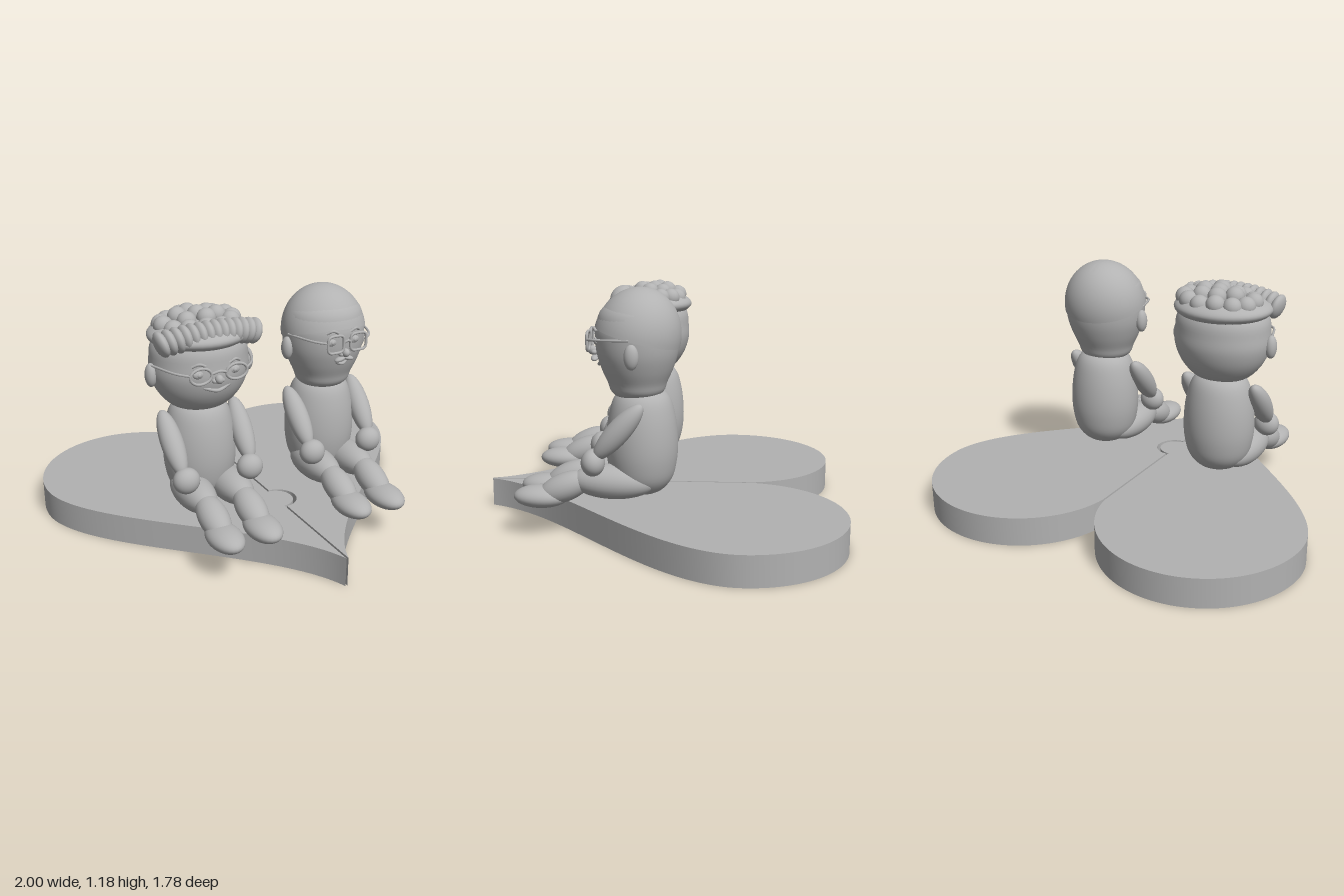
import * as THREE from 'three';
import { toCreasedNormals } from 'three/addons/utils/BufferGeometryUtils.js';

const clay = new THREE.MeshStandardMaterial({ color: 0xb2b2b2 });
clay.name = 'grey clay';

const V = (x, y, z) => new THREE.Vector3(x, y, z);

function add(parent, name, geometry) {
  const mesh = new THREE.Mesh(geometry, clay);
  mesh.name = name;
  parent.add(mesh);
  return mesh;
}

function ellipsoid(parent, name, pos, radii, detail = 28) {
  const m = add(parent, name, new THREE.SphereGeometry(1, detail, Math.round(detail * 0.7)));
  m.position.set(...pos);
  m.scale.set(...radii);
  return m;
}

// Ellipsoid stretched between two points
function limb(parent, name, a, b, rx, rz, overlap = 0.03) {
  const dir = b.clone().sub(a);
  const mid = a.clone().add(b).multiplyScalar(0.5);
  const m = ellipsoid(parent, name, mid.toArray(), [rx, dir.length() / 2 + overlap, rz]);
  m.quaternion.setFromUnitVectors(V(0, 1, 0), dir.normalize());
  return m;
}

function lathe(parent, name, profile, z, depth) {
  const curve = new THREE.SplineCurve(profile.map(p => new THREE.Vector2(...p)));
  const pts = curve.getPoints(36).map(p => new THREE.Vector2(Math.max(p.x, 0), p.y));
  const m = add(parent, name, new THREE.LatheGeometry(pts, 48));
  m.position.z = z;
  m.scale.z = depth;
  return m;
}

function wire(parent, name, points, radius, closed = false) {
  const curve = new THREE.CatmullRomCurve3(points, closed);
  return add(parent, name, new THREE.TubeGeometry(curve, closed ? 40 : 14, radius, 8, closed));
}

// One half of the heart; both halves meet in a round jigsaw tab
function heartHalf(parent, name, s, tabRadius) {
  const shape = new THREE.Shape();
  const e = s * 0.005;
  shape.moveTo(e, -0.885);
  shape.bezierCurveTo(s * 0.15, -0.45, s, -0.03, s, 0.4);
  if (s > 0) shape.absarc(0.5, 0.4, 0.5, 0, Math.PI - 0.141, false);
  else shape.absarc(-0.5, 0.4, 0.5, Math.PI, 0.141, true);
  shape.lineTo(e, -0.24 + tabRadius);
  shape.absarc(e, -0.24, tabRadius, Math.PI / 2, -Math.PI / 2, true);
  shape.lineTo(e, -0.885);
  const geo = new THREE.ExtrudeGeometry(shape, { depth: 0.145, bevelEnabled: false, curveSegments: 48 });
  geo.rotateX(-Math.PI / 2);
  add(parent, name, toCreasedNormals(geo, 0.5));
}

// Seated body shared by both figures
function seatedBody(parent) {
  lathe(parent, 'torso', [[0, 0.195], [0.09, 0.21], [0.15, 0.27], [0.175, 0.36], [0.18, 0.46],
    [0.168, 0.57], [0.14, 0.66], [0.09, 0.7], [0, 0.71]], 0.07, 0.95);
  for (const s of [-1, 1]) {
    limb(parent, 'arm', V(s * 0.188, 0.64, 0.075), V(s * 0.178, 0.43, 0.255), 0.055, 0.055);
    ellipsoid(parent, 'hand', [s * 0.167, 0.385, 0.285], [0.066, 0.064, 0.056]);
    limb(parent, 'thigh', V(s * 0.095, 0.27, 0.04), V(s * 0.098, 0.28, 0.36), 0.09, 0.083, 0.04);
    limb(parent, 'shin', V(s * 0.098, 0.285, 0.33), V(s * 0.098, 0.2, 0.53), 0.072, 0.068);
    ellipsoid(parent, 'foot', [s * 0.098, 0.197, 0.543], [0.082, 0.054, 0.132]);
  }
}

// Glasses, eyes, brows, nose and mouth
function face(parent, f) {
  for (const s of [-1, 1]) {
    const rim = [];
    for (let i = 0; i < 24; i++) {
      const a = i / 24 * Math.PI * 2, c = Math.cos(a), d = Math.sin(a);
      rim.push(V(s * f.eyeX + f.lensW * Math.sign(c) * Math.abs(c) ** f.round,
        f.eyeY + f.lensH * Math.sign(d) * Math.abs(d) ** f.round, f.glassZ));
    }
    wire(parent, 'glassesRim', rim, 0.007, true);
    const outer = f.eyeX + f.lensW;
    wire(parent, 'glassesTemple', [V(s * outer, f.eyeY + 0.01, f.glassZ),
      V(s * (outer + 0.05), f.eyeY + 0.015, f.glassZ - 0.05),
      V(s * f.earX, f.eyeY + 0.02, 0.11)], 0.006);
    ellipsoid(parent, 'eye', [s * f.eyeX, f.eyeY, f.skinZ], [0.028, 0.019, 0.012], 16);
    ellipsoid(parent, 'pupil', [s * f.eyeX, f.eyeY, f.skinZ + 0.01], [0.01, 0.01, 0.006], 12);
    const browY = f.eyeY + f.lensH + 0.008;
    wire(parent, 'eyebrow', [V(s * (f.eyeX - 0.03), browY - 0.005, f.skinZ + 0.01),
      V(s * f.eyeX, browY + 0.008, f.skinZ + 0.01),
      V(s * (f.eyeX + 0.03), browY - 0.005, f.skinZ - 0.005)], 0.007);
    ellipsoid(parent, 'ear', [s * f.earX, f.earY, 0.1], [0.028, 0.058, 0.034], 20);
    ellipsoid(parent, 'nostril', [s * 0.018, f.noseY - 0.008, f.noseZ - 0.01], [0.014, 0.012, 0.016], 14);
  }
  wire(parent, 'glassesBridge', [V(-f.eyeX + f.lensW, f.eyeY + 0.005, f.glassZ),
    V(0, f.eyeY + 0.014, f.glassZ + 0.005), V(f.eyeX - f.lensW, f.eyeY + 0.005, f.glassZ)], 0.007);
  ellipsoid(parent, 'nose', [0, f.noseY, f.noseZ], [0.02, 0.022, 0.024], 18);
  const w = f.mouthW;
  wire(parent, 'mouth', [V(-w, f.mouthY + 0.012, f.mouthZ - 0.016), V(0, f.mouthY - 0.005, f.mouthZ),
    V(w, f.mouthY + 0.012, f.mouthZ - 0.016)], 0.009);
}

function curlyFigure() {
  const g = new THREE.Group();
  g.name = 'curlyFigure';
  seatedBody(g);
  lathe(g, 'head', [[0, 0.668], [0.08, 0.672], [0.15, 0.7], [0.21, 0.77], [0.24, 0.85],
    [0.24, 0.92], [0.225, 1.0], [0.15, 1.07], [0, 1.1]], 0.085, 0.88);
  face(g, { eyeX: 0.09, eyeY: 0.895, lensW: 0.053, lensH: 0.037, round: 1, glassZ: 0.307, skinZ: 0.28,
    earX: 0.25, earY: 0.865, noseY: 0.868, noseZ: 0.306, mouthY: 0.815, mouthZ: 0.292, mouthW: 0.065 });
  // Smooth hair cap with curls on top
  ellipsoid(g, 'hairCap', [0, 1.035, 0.085], [0.245, 0.07, 0.225], 40);
  for (const [count, r, y] of [[1, 0, 1.108], [6, 0.095, 1.102], [13, 0.175, 1.075]]) {
    for (let i = 0; i < count; i++) {
      const a = (i + 0.3) / count * Math.PI * 2;
      ellipsoid(g, 'curl', [0.008 + r * Math.cos(a), y + 0.006 * Math.sin(i * 2.3),
        0.055 + 0.7 * r * Math.sin(a)], [0.047, 0.047, 0.047], 18);
    }
  }
  // Rolled fringe
  for (let i = 0; i < 14; i++) {
    const u = i / 13 * 2 - 1;
    const roll = ellipsoid(g, 'fringeRoll', [0.232 * u, 1.065 - 0.027 * u * u, 0.225 - 0.025 * u * u],
      [0.03, 0.062, 0.066], 20);
    roll.rotation.z = -0.3 * u;
  }
  return g;
}

function baldFigure() {
  const g = new THREE.Group();
  g.name = 'baldFigure';
  seatedBody(g);
  lathe(g, 'head', [[0, 0.662], [0.09, 0.668], [0.132, 0.695], [0.15, 0.74], [0.178, 0.8],
    [0.201, 0.87], [0.209, 0.94], [0.204, 1.0], [0.165, 1.09], [0, 1.165]], 0.09, 0.94);
  // Smooth crown, tilted up toward the brow
  const dome = [new THREE.Vector2(0.19, 0)];
  for (let i = 0; i <= 20; i++) {
    const a = i / 20 * Math.PI / 2;
    dome.push(new THREE.Vector2(0.215 * Math.cos(a), 0.235 * Math.sin(a)));
  }
  dome[21].x = 0;
  const crown = add(g, 'crown', toCreasedNormals(new THREE.LatheGeometry(dome, 48), 0.7));
  crown.position.set(0, 0.948, 0.09);
  crown.scale.z = 0.95;
  crown.rotation.x = -0.25;
  face(g, { eyeX: 0.064, eyeY: 0.938, lensW: 0.045, lensH: 0.043, round: 0.5, glassZ: 0.312, skinZ: 0.274,
    earX: 0.213, earY: 0.885, noseY: 0.885, noseZ: 0.3, mouthY: 0.825, mouthZ: 0.27, mouthW: 0.04 });
  // Moustache
  for (const s of [-1, 1]) {
    const m = ellipsoid(g, 'moustache', [s * 0.024, 0.852, 0.288], [0.03, 0.012, 0.018], 16);
    m.rotation.z = -s * 0.25;
  }
  return g;
}

export function createModel() {
  const model = new THREE.Group();
  model.name = 'seatedCoupleOnHeart';
  heartHalf(model, 'heartHalfRight', -1, 0.085);
  heartHalf(model, 'heartHalfLeft', 1, 0.095);
  const curly = curlyFigure();
  curly.position.x = -0.345;
  const bald = baldFigure();
  bald.position.x = 0.341;
  model.add(curly, bald);
  return model;
}
